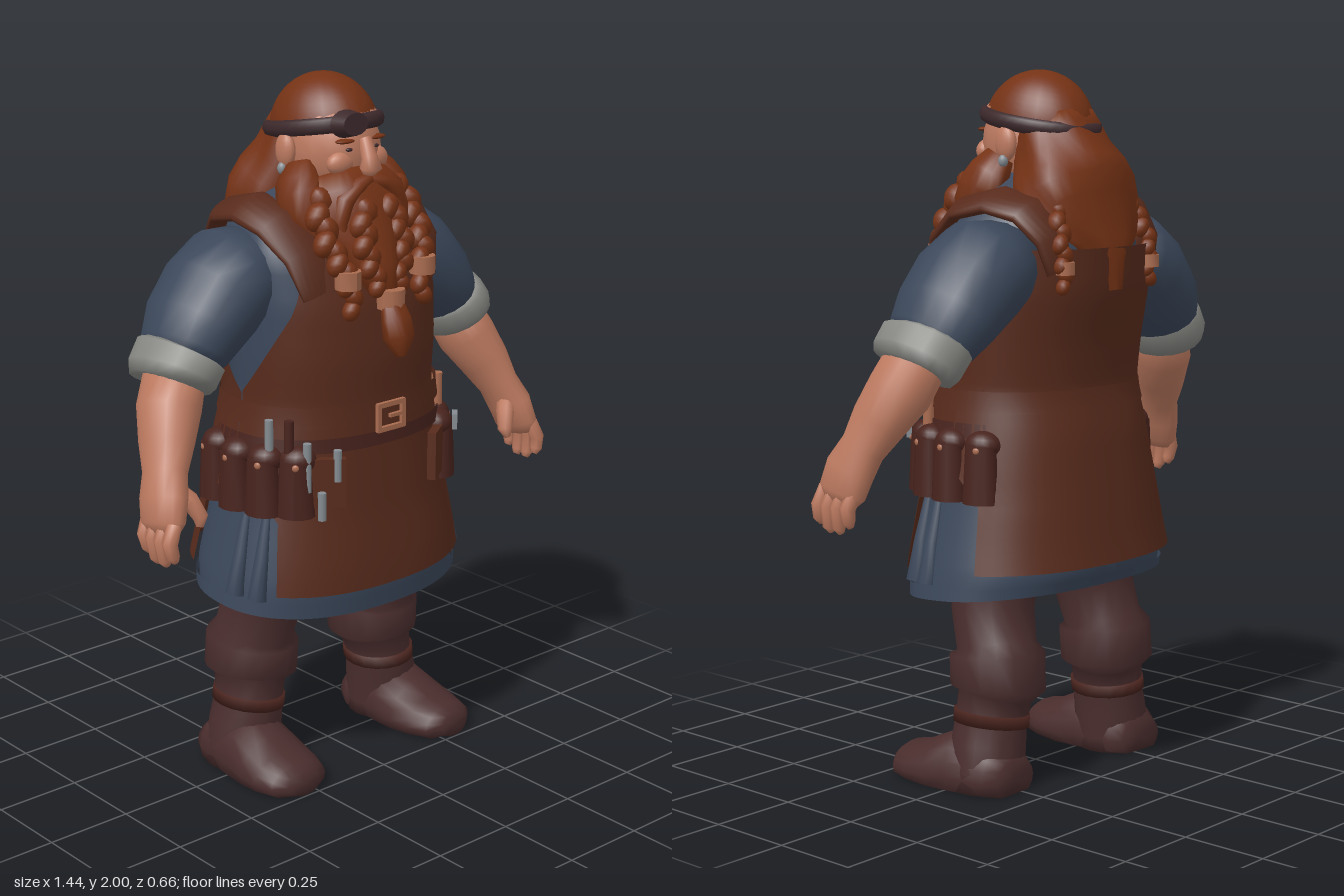
import * as THREE from 'three';
import { mergeGeometries } from 'three/addons/utils/BufferGeometryUtils.js';

const V = (x, y, z) => new THREE.Vector3(x, y, z);
const Y = V(0, 1, 0), Z = V(0, 0, 1);

function mat(name, color, side = THREE.FrontSide) {
  const m = new THREE.MeshStandardMaterial({ color, side });
  m.name = name;
  return m;
}

function build(pos, idx) {
  const g = new THREE.BufferGeometry();
  g.setAttribute('position', new THREE.Float32BufferAttribute(pos, 3));
  g.setIndex(idx);
  g.computeVertexNormals();
  return g;
}

// Closed skin over elliptical rings [x, y, z, radiusU, radiusV]; V follows the hint axis.
// Nothing goes below the ground, which flattens the soles.
function limb(rings, hint = Z, lumps = 0, n = 18) {
  const pos = [], idx = [], m = rings.length;
  const c = rings.map(r => V(r[0], r[1], r[2]));
  rings.forEach((r, i) => {
    const t = c[Math.min(i + 1, m - 1)].clone().sub(c[Math.max(i - 1, 0)]).normalize();
    const v = hint.clone().addScaledVector(t, -hint.dot(t)).normalize();
    const u = v.clone().cross(t);
    for (let j = 0; j < n; j++) {
      const a = j / n * Math.PI * 2, k = 1 + lumps * Math.cos(a * 6 + i * 0.9);
      const p = c[i].clone().addScaledVector(u, r[3] * k * Math.cos(a)).addScaledVector(v, r[4] * k * Math.sin(a));
      pos.push(p.x, Math.max(p.y, 0), p.z);
    }
  });
  pos.push(...c[0].toArray(), ...c[m - 1].toArray());
  for (let j = 0; j < n; j++) {
    const k = (j + 1) % n, e = (m - 1) * n;
    for (let i = 0; i < m - 1; i++) {
      const a = i * n + j, b = i * n + k;
      idx.push(a, b, a + n, b, b + n, a + n);
    }
    idx.push(m * n, k, j, m * n + 1, e + j, e + k);
  }
  return build(pos, idx);
}

// Linear lookup in rows sorted by their first number.
function lookup(rows, y) {
  let i = 0;
  while (i < rows.length - 2 && y > rows[i + 1][0]) i++;
  const a = rows[i], b = rows[i + 1], t = THREE.MathUtils.clamp((y - a[0]) / (b[0] - a[0]), 0, 1);
  return a.map((v, k) => v + (b[k] - v) * t);
}

// Torso profile: height, half width, front depth, back depth.
const TORSO = [
  [0.55, 0.405, 0.265, 0.28], [0.62, 0.395, 0.275, 0.305], [0.8, 0.355, 0.25, 0.28],
  [1.0, 0.315, 0.235, 0.25], [1.12, 0.292, 0.23, 0.22], [1.25, 0.3, 0.235, 0.235],
  [1.4, 0.305, 0.22, 0.268], [1.52, 0.3, 0.185, 0.275], [1.6, 0.27, 0.14, 0.255],
  [1.67, 0.2, 0.08, 0.2], [1.72, 0.1, 0.04, 0.12]];

// Point on the torso; angle 0 faces the front, positive toward +x.
function body(y, a, off = 0) {
  const [, w, f, b] = lookup(TORSO, y), s = Math.sin(a), c = Math.cos(a);
  const pw = v => Math.sign(v) * Math.abs(v) ** 0.88;
  return V((w + off) * pw(s), y - (y < 0.7 ? 0.028 * c * (0.7 - y) / 0.15 : 0), ((c > 0 ? f : b) + off) * pw(c));
}

// Sheet that hugs the torso around a middle angle, with its half angle given by height.
function sheet(y0, y1, mid, half, off, rows = 24, cols = 32) {
  const pos = [], idx = [];
  for (let i = 0; i <= rows; i++) {
    const y = y0 + (y1 - y0) * i / rows, h = half(y);
    for (let j = 0; j <= cols; j++) pos.push(...body(y, mid + h * (2 * j / cols - 1), off).toArray());
  }
  for (let i = 0; i < rows; i++) for (let j = 0; j < cols; j++) {
    const a = i * (cols + 1) + j, b = a + cols + 1;
    idx.push(a, a + 1, b, a + 1, b + 1, b);
  }
  return build(pos, idx);
}

const ball = (x, y, z, a, b, c) => new THREE.SphereGeometry(1, 16, 12).scale(a, b, c).translate(x, y, z);
const box = (w, h, d, x, y, z) => new THREE.BoxGeometry(w, h, d).translate(x, y, z);
const rod = (r, h, x = 0, y = 0, z = 0) => new THREE.CylinderGeometry(r, r, h, 10).translate(x, y, z);

// Plait made of overlapping knots that swing from side to side.
function braid(points, r, knots) {
  const curve = new THREE.CatmullRomCurve3(points.map(p => V(...p)));
  const parts = [];
  for (let i = 0; i < knots; i++) {
    const t = i / (knots - 1), p = curve.getPoint(t), s = i % 2 ? 1 : -1, k = r * (1 - 0.3 * t);
    const g = new THREE.SphereGeometry(1, 10, 8).scale(k, k * 1.25, k).rotateZ(s * 0.5);
    parts.push(g.translate(p.x + s * k * 0.35, p.y, p.z));
  }
  return mergeGeometries(parts);
}

function mirrored(geo) {
  const g = geo.clone().scale(-1, 1, 1), ix = g.index.array;
  for (let i = 0; i < ix.length; i += 3) [ix[i], ix[i + 1]] = [ix[i + 1], ix[i]];
  g.computeVertexNormals();
  return g;
}

export function createModel() {
  const root = new THREE.Group();
  root.name = 'bearded craftsman';
  const D = THREE.DoubleSide;
  const hair = mat('red hair', 0x743215), apron = mat('apron leather', 0x582b1c, D), cloth = mat('blue cloth', 0x3b475a, D),
    cuff = mat('grey cuff', 0x868782), skin = mat('skin', 0xbd7a60), boot = mat('boot leather', 0x4a2d2d),
    dark = mat('dark leather', 0x48231d), metal = mat('steel', 0x848b90), copper = mat('copper', 0xaa6c50), band = mat('headband', 0x3d292c);
  const add = (name, geo, m) => {
    const mesh = new THREE.Mesh(geo, m);
    mesh.name = name;
    root.add(mesh);
  };
  const pair = (name, geo, m) => {
    add('left ' + name, geo, m);
    add('right ' + name, mirrored(geo), m);
  };

  // Tunic and wrapped apron
  const full = () => Math.PI;
  add('tunic', sheet(0.55, 1.72, 0, full, 0, 36, 64), cloth);
  add('tunic hem', sheet(0.55, 0.585, 0, full, 0.009, 2, 64), cloth);
  for (const a of [1.15, 1.4])
    pair('tunic pleat', limb([0.59, 0.7, 0.82].map((y, k) => [...body(y, a).toArray(), 0.026 - k * 0.008, 0.03 - k * 0.008]), Z, 0, 10), cloth);
  const FRONT = [[0.6, 0.95], [0.82, 1.0], [0.9, 1.4], [1.0, 1.58], [1.15, 1.58], [1.25, 1.3], [1.4, 0.88], [1.55, 0.68]];
  const BACK = [[0.6, 1.22], [0.82, 1.25], [0.9, 1.5], [1.0, 1.58], [1.15, 1.58], [1.25, 1.35], [1.4, 1.02], [1.6, 0.85]];
  add('apron front', sheet(0.61, 1.54, 0, y => lookup(FRONT, y)[1], 0.018), apron);
  add('apron back', sheet(0.63, 1.52, Math.PI, y => lookup(BACK, y)[1], 0.026), apron);
  pair('shoulder strap', limb([[0.19, 1.44, 0.185, 0.012, 0.055], [0.215, 1.55, 0.15, 0.022, 0.065], [0.235, 1.625, 0.06, 0.025, 0.068],
    [0.235, 1.65, -0.06, 0.025, 0.068], [0.225, 1.625, -0.17, 0.025, 0.065], [0.2, 1.55, -0.235, 0.02, 0.06], [0.18, 1.46, -0.247, 0.012, 0.05]],
    V(0.92, -0.4, 0)), apron);

  // Belt, buckle, pouches and tools
  add('belt', sheet(1.07, 1.13, 0, full, 0.03, 2, 64), apron);
  add('hip belt', sheet(1.0, 1.04, 0, () => 1.9, 0.026, 2, 48), dark);
  add('buckle', mergeGeometries([box(0.1, 0.014, 0.012, 0, 1.115, 0.266), box(0.1, 0.014, 0.012, 0, 1.045, 0.266),
    box(0.014, 0.08, 0.012, -0.045, 1.08, 0.266), box(0.014, 0.08, 0.012, 0.045, 1.08, 0.266), box(0.05, 0.01, 0.012, 0.02, 1.08, 0.266)]), copper);
  const onHip = (geo, y, a, off) => {
    const p = body(y, a, off);
    return geo.rotateY(a).translate(p.x, p.y, p.z);
  };
  for (const a of [0.85, 1.2, 1.55, 1.88]) {
    pair('pouch', onHip(new THREE.CylinderGeometry(0.045, 0.054, 0.16, 12).scale(1, 1, 0.8), 0.905, a, 0.018), dark);
    pair('pouch flap', onHip(ball(0, 0, 0, 0.052, 0.04, 0.045), 0.985, a, 0.02), dark);
    pair('pouch stud', onHip(ball(0, 0, 0.045, 0.01, 0.01, 0.006), 0.975, a, 0.02), copper);
  }
  pair('apron pocket', onHip(box(0.13, 0.14, 0.025, 0, 0, 0), 0.92, 0.6, 0.026), apron);
  [[-0.48, 0.97, 0.09], [-0.6, 0.86, 0.08], [-0.75, 0.97, 0.14], [-1.15, 1.05, 0.1]].forEach(([a, y, h]) =>
    add('steel tool', onHip(rod(0.012, h), y, a, 0.045), metal));
  add('left tool handle', onHip(rod(0.016, 0.12), 1.05, 1.15, 0.035), copper);
  add('right tool handle', onHip(rod(0.014, 0.1), 1.05, -0.95, 0.04), dark);
  add('chisel', onHip(box(0.05, 0.045, 0.015, 0, 0, 0), 0.995, 0.8, 0.072), metal);

  // Arms
  pair('sleeve', limb([[0.2, 1.49, -0.07, 0.11, 0.14], [0.29, 1.465, -0.07, 0.145, 0.165], [0.36, 1.42, -0.065, 0.142, 0.17],
    [0.43, 1.35, -0.06, 0.127, 0.165], [0.475, 1.29, -0.05, 0.108, 0.145], [0.495, 1.262, -0.045, 0.09, 0.12]]), cloth);
  pair('rolled cuff', limb([[0.482, 1.292, -0.045, 0.095, 0.13], [0.49, 1.28, -0.045, 0.11, 0.15], [0.523, 1.235, -0.04, 0.11, 0.147],
    [0.537, 1.212, -0.035, 0.1, 0.132], [0.539, 1.209, -0.035, 0.06, 0.07]]), cuff);
  pair('forearm', limb([[0.51, 1.25, -0.04, 0.078, 0.095], [0.56, 1.15, -0.01, 0.085, 0.095], [0.6, 1.07, 0.03, 0.07, 0.085],
    [0.63, 1.0, 0.06, 0.055, 0.07], [0.655, 0.94, 0.085, 0.055, 0.08], [0.67, 0.88, 0.1, 0.045, 0.08], [0.675, 0.85, 0.105, 0.025, 0.06]]), skin);
  for (let i = 0; i < 4; i++) {
    const z = 0.045 + i * 0.037, low = i === 0 || i === 3 ? 0.79 : 0.77;
    pair('finger', limb([[0.675, 0.89, z, 0.022, 0.02], [0.697, 0.84, z + 0.008, 0.022, 0.021],
      [0.69, low + 0.015, z + 0.012, 0.019, 0.018], [0.682, low, z + 0.012, 0.01, 0.01]], Z, 0, 8), skin);
  }
  pair('thumb', limb([[0.64, 0.97, 0.09, 0.03, 0.03], [0.597, 0.93, 0.125, 0.027, 0.027], [0.578, 0.885, 0.145, 0.022, 0.022],
    [0.585, 0.86, 0.15, 0.01, 0.01]], Z, 0, 8), skin);

  // Legs and boots
  add('trouser seat', ball(0, 0.76, -0.015, 0.32, 0.14, 0.22), boot);
  pair('leg', limb([[0.17, 0.8, -0.03, 0.14, 0.15], [0.21, 0.56, -0.03, 0.12, 0.125], [0.22, 0.5, -0.035, 0.12, 0.115],
    [0.232, 0.4, -0.06, 0.112, 0.115], [0.235, 0.38, -0.065, 0.132, 0.14], [0.238, 0.285, -0.07, 0.132, 0.14], [0.245, 0.265, -0.065, 0.1, 0.11],
    [0.255, 0.2, -0.06, 0.093, 0.108], [0.268, 0.12, -0.06, 0.104, 0.11], [0.278, 0.05, -0.065, 0.108, 0.105], [0.28, 0, -0.065, 0.108, 0.105]]), boot);
  pair('foot', limb([[0.278, 0.04, -0.17, 0.08, 0.06], [0.28, 0.04, -0.13, 0.1, 0.1], [0.283, 0.04, 0.0, 0.11, 0.125],
    [0.286, 0.03, 0.08, 0.115, 0.1], [0.29, 0.03, 0.15, 0.115, 0.07], [0.294, 0.03, 0.21, 0.095, 0.058], [0.297, 0.035, 0.24, 0.055, 0.035]], Y), boot);
  pair('boot strap', limb([[0.253, 0.215, -0.06, 0.1, 0.115], [0.257, 0.18, -0.06, 0.1, 0.115]]), dark);

  // Head and face
  add('head', ball(0, 1.8, 0.02, 0.13, 0.15, 0.138), skin);
  add('forehead', ball(0, 1.885, 0.04, 0.118, 0.05, 0.112), skin);
  add('nose', limb([[0, 1.84, 0.15, 0.016, 0.02], [0, 1.79, 0.172, 0.022, 0.022], [0, 1.762, 0.178, 0.033, 0.028], [0, 1.745, 0.168, 0.02, 0.015]]), skin);
  pair('cheek', ball(0.06, 1.775, 0.122, 0.045, 0.035, 0.03), skin);
  pair('ear', ball(0.14, 1.8, -0.015, 0.022, 0.05, 0.035), skin);
  pair('earring', ball(0.152, 1.752, -0.015, 0.014, 0.018, 0.014), metal);
  pair('eye', ball(0.047, 1.813, 0.142, 0.012, 0.006, 0.008), band);
  pair('eyebrow', ball(0.055, 1.836, 0.135, 0.033, 0.007, 0.018), hair);

  // Hair, headband and patch
  add('hair cap', new THREE.SphereGeometry(1, 24, 12, 0, Math.PI * 2, 0, 1.4).scale(0.14, 0.165, 0.17).rotateX(-0.16).translate(0, 1.837, -0.015), hair);
  add('back hair', limb([[0, 1.87, -0.07, 0.11, 0.105], [0, 1.83, -0.08, 0.13, 0.113], [0, 1.77, -0.1, 0.147, 0.125], [0, 1.72, -0.125, 0.18, 0.14],
    [0, 1.67, -0.145, 0.205, 0.145], [0, 1.61, -0.185, 0.2, 0.115], [0, 1.56, -0.225, 0.17, 0.075], [0, 1.52, -0.255, 0.12, 0.05],
    [0, 1.48, -0.275, 0.05, 0.033], [0, 1.4, -0.29, 0.025, 0.02]], Z, 0.035, 36), hair);
  pair('side lock', limb([[0.125, 1.765, 0.02, 0.025, 0.05], [0.145, 1.72, 0.04, 0.045, 0.07], [0.16, 1.68, 0.06, 0.05, 0.075],
    [0.165, 1.63, 0.09, 0.045, 0.06], [0.15, 1.58, 0.13, 0.02, 0.03]], Z, 0.05), hair);
  pair('back braid', braid([[0.16, 1.62, -0.22], [0.185, 1.52, -0.26], [0.18, 1.42, -0.265]], 0.028, 8), hair);
  pair('back braid bead', rod(0.027, 0.035, 0.182, 1.47, -0.268), copper);
  add('headband', new THREE.TorusGeometry(0.147, 0.016, 8, 40).rotateX(Math.PI / 2).scale(0.95, 1.4, 1.16).rotateX(-0.16).translate(0, 1.859, -0.02), band);
  add('eye patch', new THREE.CylinderGeometry(0.036, 0.045, 0.045, 16).scale(1.2, 1, 0.85).rotateX(Math.PI / 2 - 0.1).translate(-0.052, 1.885, 0.153), band);

  // Beard, moustache and plaits
  add('beard', limb([[0, 1.735, 0.08, 0.12, 0.08], [0, 1.69, 0.1, 0.165, 0.1], [0, 1.62, 0.12, 0.165, 0.105], [0, 1.55, 0.155, 0.13, 0.1],
    [0, 1.48, 0.195, 0.09, 0.075], [0, 1.42, 0.225, 0.05, 0.05]], Z, 0.05, 36), hair);
  pair('moustache', limb([[0, 1.732, 0.168, 0.018, 0.02], [0.045, 1.718, 0.172, 0.024, 0.03], [0.09, 1.68, 0.17, 0.028, 0.032],
    [0.11, 1.62, 0.175, 0.022, 0.025], [0.1, 1.57, 0.19, 0.008, 0.01]]), hair);
  pair('beard plait', braid([[0.15, 1.68, 0.13], [0.165, 1.58, 0.19], [0.14, 1.5, 0.235], [0.125, 1.4, 0.25]], 0.035, 10), hair);
  pair('inner plait', braid([[0.05, 1.65, 0.2], [0.065, 1.55, 0.235], [0.035, 1.45, 0.255]], 0.034, 8), hair);
  pair('plait bead', rod(0.037, 0.05, 0.137, 1.485, 0.24), copper);
  add('beard tip', limb([[0, 1.42, 0.26, 0.03, 0.025], [0, 1.36, 0.285, 0.045, 0.035], [0, 1.31, 0.295, 0.045, 0.037], [0, 1.26, 0.305, 0.015, 0.015]], Z, 0.06), hair);
  add('beard bead', rod(0.04, 0.055, 0, 1.415, 0.262), copper);
  return root;
}
